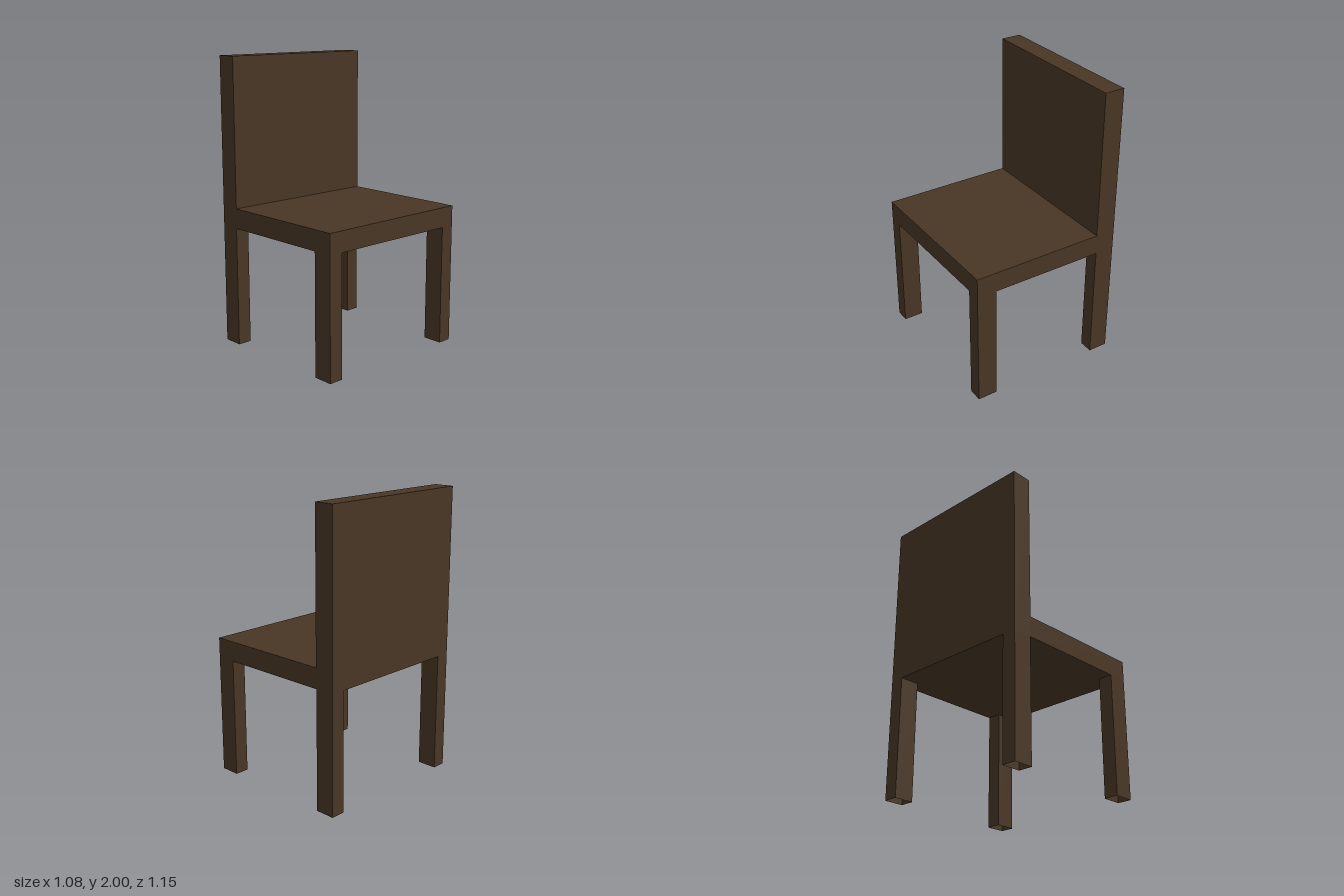
import * as THREE from 'three';

export function createModel() {
  const chair = new THREE.Group();
  chair.name = 'chair';
  const wood = new THREE.MeshStandardMaterial({ color: 0x483624, side: THREE.DoubleSide });
  wood.name = 'darkWood';

  const halfX = 0.54, halfZ = 0.575;   // footprint
  const thick = 0.14, legZ = 0.1;      // board thickness and leg depth
  const under = 0.835, seatTop = 0.975, top = 2;

  // Box given by its two opposite corners
  function box(name, [x0, y0, z0], [x1, y1, z1]) {
    const geometry = new THREE.BoxGeometry(x1 - x0, y1 - y0, z1 - z0);
    geometry.translate((x0 + x1) / 2, (y0 + y1) / 2, (z0 + z1) / 2);
    const mesh = new THREE.Mesh(geometry, wood);
    mesh.name = name;
    chair.add(mesh);
    return mesh;
  }

  // Backrest and seat
  box('backrest', [-halfX, under, -halfZ], [-halfX + thick + 0.003, top, halfZ]);
  box('seat', [-halfX + thick + 0.003, under, -halfZ], [halfX, seatTop, halfZ]);

  // Four hollow legs, open at the foot
  for (const sx of [-1, 1]) {
    for (const sz of [-1, 1]) {
      const x0 = sx < 0 ? -halfX : halfX - thick;
      const z0 = sz < 0 ? -halfZ : halfZ - legZ;
      const name = (sx < 0 ? 'backrest' : 'seat') + (sz < 0 ? 'RearLeg' : 'FrontLeg');
      const leg = box(name, [x0, 0, z0], [x0 + thick, under, z0 + legZ]);
      // Keep only the four side walls, dropping the top and bottom faces
      const index = Array.from(leg.geometry.index.array);
      leg.geometry.setIndex([...index.slice(0, 12), ...index.slice(24)]);
      leg.geometry.clearGroups();
    }
  }
  return chair;
}
